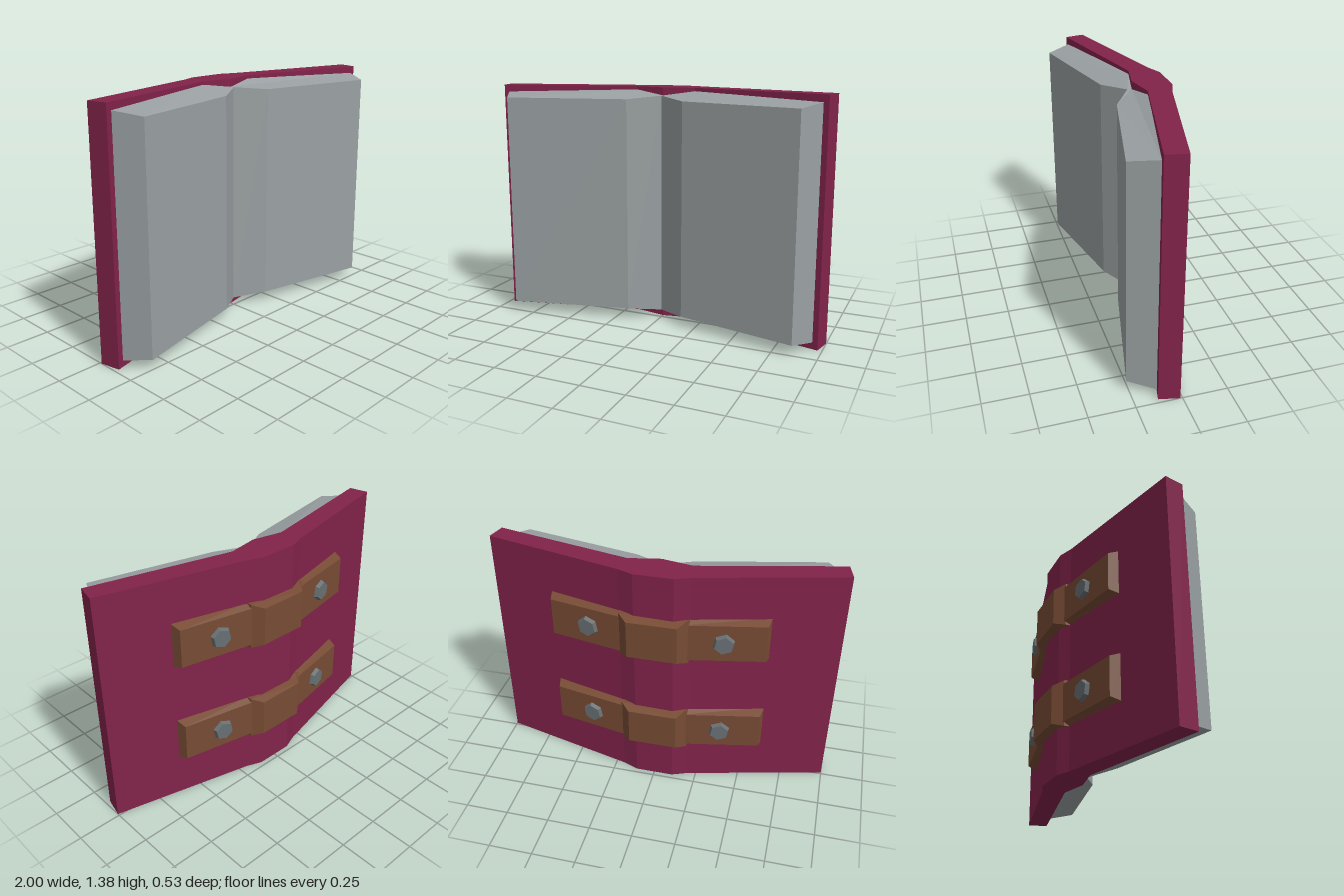
import * as THREE from 'three';

// Solid whose plan outline is [x, z, bottomY, topY] per corner
function slab(points) {
  let p = points;
  const flat = (q) => q.map(([x, z]) => new THREE.Vector2(x, z));
  if (THREE.ShapeUtils.area(flat(p)) < 0) p = [...p].reverse();
  const pos = [];
  const bottom = (i) => pos.push(p[i][0], p[i][2], p[i][1]);
  const top = (i) => pos.push(p[i][0], p[i][3], p[i][1]);
  for (const [a, b, c] of THREE.ShapeUtils.triangulateShape(flat(p), [])) {
    bottom(a); bottom(b); bottom(c);
    top(c); top(b); top(a);
  }
  for (let i = 0; i < p.length; i++) {
    const j = (i + 1) % p.length;
    bottom(i); top(i); bottom(j);
    bottom(j); top(i); top(j);
  }
  const g = new THREE.BufferGeometry();
  g.setAttribute('position', new THREE.Float32BufferAttribute(pos, 3));
  g.computeVertexNormals();
  return g;
}

function material(name, color) {
  const m = new THREE.MeshStandardMaterial({ color, flatShading: true });
  m.name = name;
  return m;
}

export function createModel() {
  const model = new THREE.Group();
  model.name = 'openBook';
  const maroon = material('maroon cover', 0x82234a);
  const paper = material('grey paper', 0x9aa0a2);
  const leather = material('brown leather', 0x774b34);
  const iron = material('dark iron', 0x687073);

  const add = (parent, name, geometry, mat) => {
    const mesh = new THREE.Mesh(geometry, mat);
    mesh.name = name;
    parent.add(mesh);
    return mesh;
  };

  // Cover: bent boards with a raised spine
  const half = [[0.11, -0.222], [0.2, -0.187], [1, 0.012], [0.975, 0.125], [0.18, -0.06]];
  const outline = [...half, [0, -0.025], ...half.map(([x, z]) => [-x, z]).reverse()];
  add(model, 'cover', slab(outline.map(([x, z]) => [x, z, 0, 1.375])), maroon);

  // Page blocks, tapering toward the reading faces
  for (const s of [1, -1]) {
    add(model, s > 0 ? 'leftPages' : 'rightPages', slab([
      [0, 0, 0.045, 1.33],
      [s * 0.17, 0.108, 0.063, 1.312],
      [s * 0.865, 0.263, 0.063, 1.312],
      [s * 0.945, 0.122, 0.04, 1.335],
      [s * 0.18, -0.062, 0.02, 1.357],
      [0, -0.026, 0.045, 1.33],
    ]), paper);
  }

  // Straps across the back with bevelled edges and hexagonal studs
  const bevel = 0.022;
  [[0.25, 0.515], [0.86, 1.127]].forEach(([y0, y1], k) => {
    const strap = new THREE.Group();
    strap.name = k ? 'upperStrap' : 'lowerStrap';
    model.add(strap);
    const wide = (x, z) => [x, z, y0, y1];
    const narrow = (x, z) => [x, z, y0 + bevel, y1 - bevel];

    add(strap, 'spineBridge', slab([
      wide(-0.195, -0.18), wide(-0.195, -0.217), narrow(-0.14, -0.27),
      narrow(0.14, -0.27), wide(0.195, -0.217), wide(0.195, -0.18),
    ]), leather);

    for (const s of [1, -1]) {
      add(strap, 'strapArm', slab([
        wide(s * 0.16, -0.188), narrow(s * 0.16, -0.228),
        narrow(s * 0.607, -0.139), wide(s * 0.62, -0.075),
      ]), leather);

      const stud = add(strap, 'stud', new THREE.CylinderGeometry(0.054, 0.068, 0.036, 6), iron);
      const normal = new THREE.Vector3(s * 0.2, 0, -1).normalize();
      stud.quaternion.setFromUnitVectors(new THREE.Vector3(0, 1, 0), normal);
      stud.position.set(s * 0.38, (y0 + y1) / 2, -0.184).addScaledVector(normal, 0.005);
    }
  });

  return model;
}
